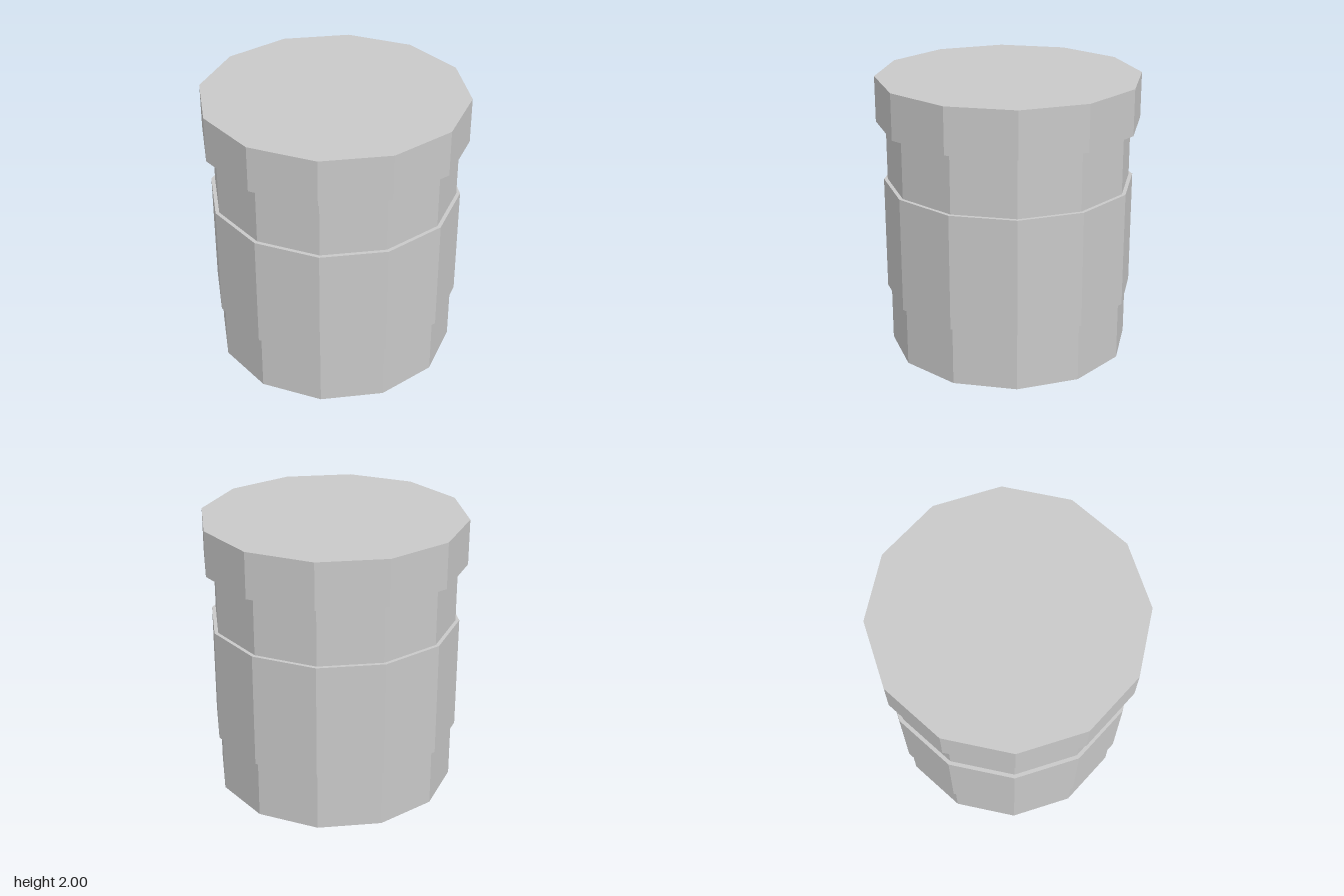
import * as THREE from 'three';

export function createModel() {
  const group = new THREE.Group();
  const grey = new THREE.MeshStandardMaterial({ color: 0xc8c8c8, flatShading: true });
  grey.name = 'light grey';

  // Twelve-sided drum between two heights
  const drum = (name, radius, bottom, top) => {
    const geometry = new THREE.CylinderGeometry(radius, radius, top - bottom, 12);
    const mesh = new THREE.Mesh(geometry, grey);
    mesh.name = name;
    mesh.position.y = (bottom + top) / 2;
    group.add(mesh);
  };

  drum('base', 0.866, 0, 0.425);
  drum('labelBand', 0.893, 0.425, 1.25);
  drum('neck', 0.866, 1.25, 1.675);
  drum('lid', 0.934, 1.675, 2);

  return group;
}
